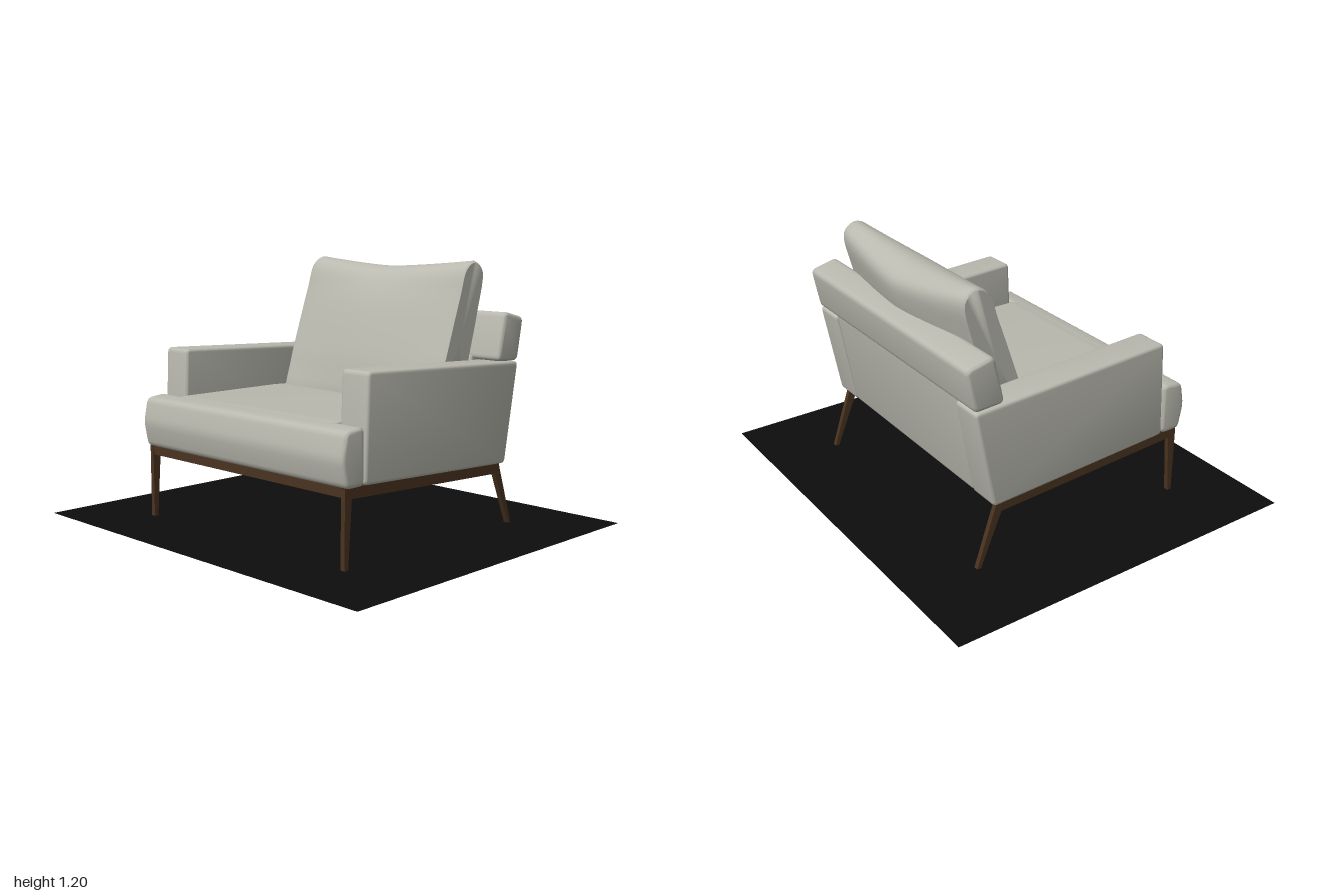
import * as THREE from 'three';
import { toCreasedNormals } from 'three/addons/utils/BufferGeometryUtils.js';

// Shape with rounded corners from [z, y] points
function roundedShape(points, r) {
  const shape = new THREE.Shape();
  const n = points.length;
  const toward = (a, b) => {
    const d = Math.hypot(b[0] - a[0], b[1] - a[1]);
    const t = Math.min(r / d, 0.45);
    return [a[0] + (b[0] - a[0]) * t, a[1] + (b[1] - a[1]) * t];
  };
  points.forEach((p, i) => {
    const start = toward(p, points[(i + n - 1) % n]);
    const end = toward(p, points[(i + 1) % n]);
    if (i === 0) shape.moveTo(...start);
    else shape.lineTo(...start);
    shape.quadraticCurveTo(p[0], p[1], ...end);
  });
  shape.closePath();
  return shape;
}

// Side profile spanning x0..x1 with softened edges
function softBlock(points, x0, x1, r = 0.015) {
  const geo = new THREE.ExtrudeGeometry(roundedShape(points, r * 1.8), {
    depth: x1 - x0 - 2 * r, bevelEnabled: true, bevelThickness: r,
    bevelSize: r, bevelOffset: -r, bevelSegments: 3, curveSegments: 4,
  });
  geo.translate(0, 0, -(x1 - x0) / 2 + r);
  geo.rotateY(-Math.PI / 2);
  geo.translate((x0 + x1) / 2, 0, 0);
  return toCreasedNormals(geo, 0.7);
}

// Sharp-edged side profile centred on x
function bar(points, x, width) {
  const shape = new THREE.Shape(points.map(p => new THREE.Vector2(...p)));
  const geo = new THREE.ExtrudeGeometry(shape, { depth: width, bevelEnabled: false });
  geo.translate(0, 0, -width / 2);
  geo.rotateY(-Math.PI / 2);
  geo.translate(x, 0, 0);
  return geo;
}

// Pillow lofted across x between an edge and a centre cross-section
function backCushionGeometry() {
  const edge = [[-0.17, 0.52], [-0.2, 0.68], [-0.255, 0.85], [-0.325, 1.05], [-0.37, 1.17],
    [-0.43, 1.2], [-0.485, 1.16], [-0.45, 0.97], [-0.39, 0.75], [-0.34, 0.52]];
  const centre = [[-0.14, 0.52], [-0.147, 0.68], [-0.19, 0.85], [-0.265, 1.05], [-0.335, 1.145],
    [-0.43, 1.162], [-0.52, 1.1], [-0.515, 1.0], [-0.42, 0.75], [-0.36, 0.52]];
  const half = 0.49, segs = 48;
  const stations = [[-half, 0], [-half, 0.97], [-0.485, 0.985], [-0.475, 1]];
  for (let i = 1; i < 16; i++) stations.push([-0.475 + 0.95 * i / 16, 1]);
  stations.push([0.475, 1], [0.485, 0.985], [half, 0.97], [half, 0]);

  const pos = [], index = [];
  for (const [x, s] of stations) {
    const w = 1 - Math.pow(Math.abs(x) / half, 1.35);
    const ring = edge.map((e, k) => new THREE.Vector3(x,
      THREE.MathUtils.lerp(e[1], centre[k][1], w),
      THREE.MathUtils.lerp(e[0], centre[k][0], w)));
    const mid = new THREE.Vector3(x, 0.85, -0.33);
    const curve = new THREE.CatmullRomCurve3(ring, true);
    for (let j = 0; j < segs; j++) {
      const p = curve.getPoint(j / segs).sub(mid).multiplyScalar(s).add(mid);
      pos.push(x, p.y, p.z);
    }
  }
  for (let i = 0; i < stations.length - 1; i++) {
    for (let j = 0; j < segs; j++) {
      const k = (j + 1) % segs;
      const a = i * segs + j, b = i * segs + k, c = b + segs, d = a + segs;
      index.push(a, d, c, a, c, b);
    }
  }
  const geo = new THREE.BufferGeometry();
  geo.setAttribute('position', new THREE.Float32BufferAttribute(pos, 3));
  geo.setIndex(index);
  return toCreasedNormals(geo, 0.8);
}

export function createModel() {
  const fabric = new THREE.MeshStandardMaterial({ color: 0xb9b9af });
  fabric.name = 'greyFabric';
  const wood = new THREE.MeshStandardMaterial({ color: 0x4a3320 });
  wood.name = 'darkWood';
  const black = new THREE.MeshStandardMaterial({ color: 0x0d0d0d, side: THREE.DoubleSide });
  black.name = 'blackMat';

  const model = new THREE.Group();
  model.name = 'armchair';
  const add = (name, geo, mat) => {
    const mesh = new THREE.Mesh(geo, mat);
    mesh.name = name;
    model.add(mesh);
    return mesh;
  };

  // Seat: deck between the arms and a wide front bolster
  add('seatDeck', softBlock([[0.54, 0.338], [0.54, 0.5634], [0.46, 0.574], [-0.1, 0.574],
    [-0.42, 0.56], [-0.42, 0.297]], -0.505, 0.505, 0.01), fabric);
  add('seatFront', softBlock([[0.462, 0.332], [0.565, 0.332], [0.588, 0.45], [0.566, 0.562],
    [0.462, 0.574]], -0.652, 0.652), fabric);

  // Back: panel between the arms, overhanging top rail, loose cushion
  add('backPanel', softBlock([[-0.32, 0.295], [-0.4, 0.78], [-0.543, 0.78], [-0.457, 0.292]],
    -0.498, 0.498, 0.01), fabric);
  add('backRail', softBlock([[-0.4, 0.757], [-0.45, 0.978], [-0.585, 0.945], [-0.547, 0.75]],
    -0.648, 0.648), fabric);
  add('backCushion', backCushionGeometry(), fabric);

  for (const side of [-1, 1]) {
    const label = side > 0 ? 'left' : 'right';
    // Arms
    const inner = side * 0.5, outer = side * 0.652;
    add(label + 'Arm', softBlock([[0.46, 0.333], [0.44, 0.788], [-0.545, 0.748], [-0.46, 0.29]],
      Math.min(inner, outer), Math.max(inner, outer), 0.012), fabric);
    // Wooden side rail with a straight front leg and a raked back leg
    const x = side * 0.625;
    add(label + 'SideRail', bar([[0.56, 0.336], [-0.435, 0.293], [-0.415, 0.247], [0.52, 0.288]],
      x, 0.024), wood);
    add(label + 'FrontLeg', bar([[0.56, 0], [0.56, 0.334], [0.515, 0.332], [0.52, 0.288],
      [0.54, 0]], x, 0.022), wood);
    add(label + 'BackLeg', bar([[-0.41, 0.247], [-0.4, 0.29], [-0.435, 0.292], [-0.533, 0],
      [-0.514, 0]], x, 0.022), wood);
  }

  // Cross rails under the seat
  add('frontCrossRail', new THREE.BoxGeometry(1.23, 0.04, 0.022), wood).position.set(0, 0.315, 0.545);
  add('backCrossRail', new THREE.BoxGeometry(1.23, 0.025, 0.022), wood).position.set(0, 0.286, -0.4);

  // Flat mat beneath the chair
  const mat = add('mat', new THREE.PlaneGeometry(2, 1.735).rotateX(-Math.PI / 2), black);
  mat.position.set(0, 0, 0);

  return model;
}
